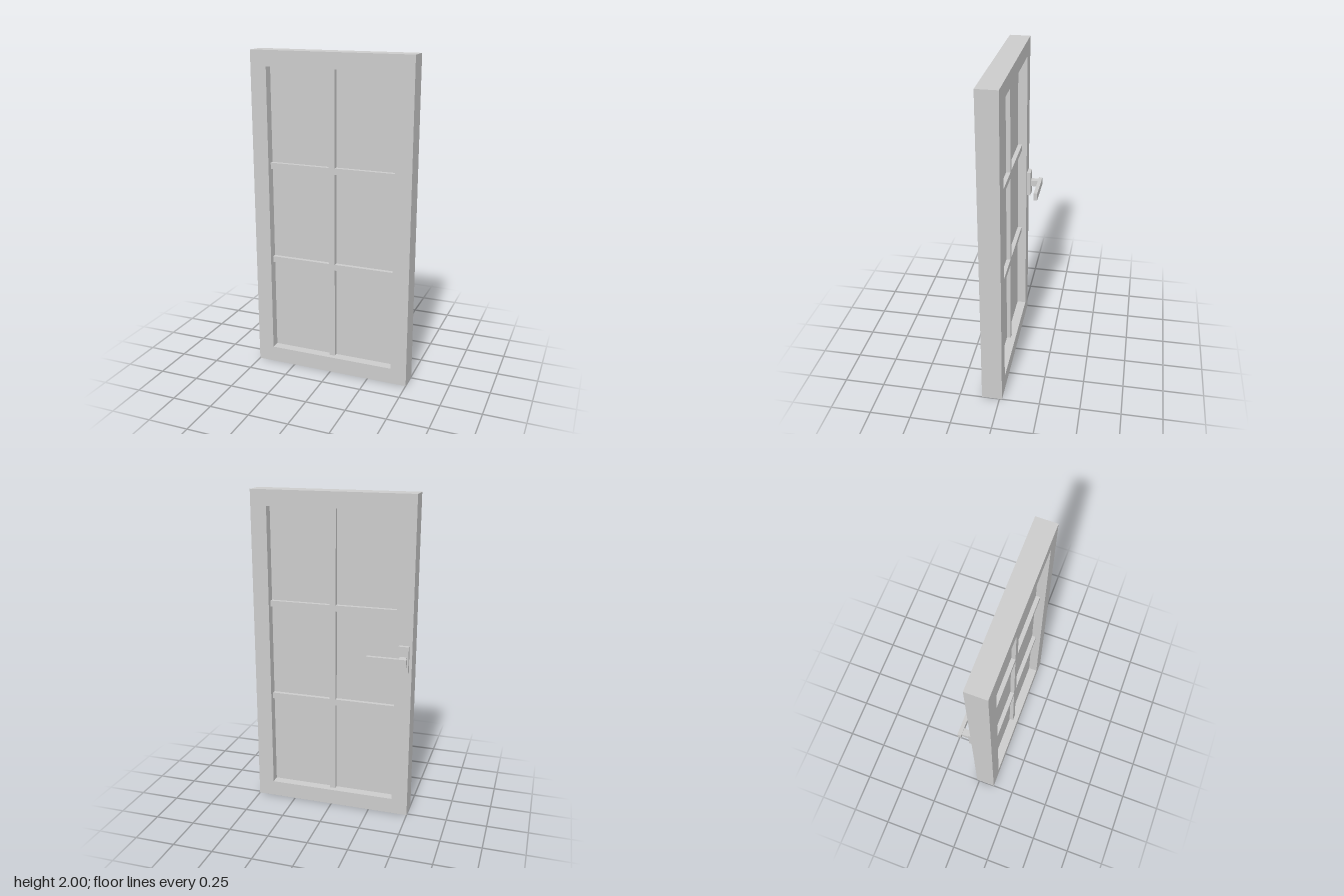
import * as THREE from 'three';

const material = new THREE.MeshStandardMaterial({ color: 0xcccccc });

// Box given by its extents along each axis
function block(name, [x0, x1], [y0, y1], [z0, z1]) {
  const mesh = new THREE.Mesh(new THREE.BoxGeometry(x1 - x0, y1 - y0, z1 - z0), material);
  mesh.position.set((x0 + x1) / 2, (y0 + y1) / 2, (z0 + z1) / 2);
  mesh.name = name;
  return mesh;
}

function rectangle(path, x0, x1, y0, y1) {
  path.moveTo(x0, y0).lineTo(x1, y0).lineTo(x1, y1).lineTo(x0, y1).closePath();
  return path;
}

export function createModel() {
  const model = new THREE.Group();
  model.name = 'glazedDoor';

  const back = -0.016, front = 0.11, middle = (back + front) / 2;
  const bottom = 0.1, top = 1.905, side = 0.4;

  // Outer frame with one rectangular opening
  const outline = rectangle(new THREE.Shape(), -0.5, 0.5, 0, 2);
  outline.holes.push(rectangle(new THREE.Path(), -side, side, bottom, top));
  const frame = new THREE.Mesh(
    new THREE.ExtrudeGeometry(outline, { depth: front - back, bevelEnabled: false }), material);
  frame.position.z = back;
  frame.name = 'frame';
  model.add(frame);

  // Thin pane in the middle of the frame's depth
  model.add(block('pane', [-side, side], [bottom, top], [middle - 0.006, middle + 0.006]));

  // Glazing bars: one upright, two rows of crossbars
  const bar = 0.019, barDepth = [middle - 0.032, middle + 0.032];
  model.add(block('uprightBar', [-bar, bar], [bottom, top], barDepth));
  for (const y of [0.701, 1.307]) {
    model.add(block('crossbarRight', [-side, -bar], [y - bar, y + bar], barDepth));
    model.add(block('crossbarLeft', [bar, side], [y - bar, y + bar], barDepth));
  }

  // Lever handle on the back
  const handle = new THREE.Group();
  handle.name = 'handle';
  handle.add(
    block('handlePlate', [-0.483, -0.419], [0.958, 1.122], [-0.04, back]),
    block('handleStem', [-0.472, -0.432], [1.02, 1.06], [-0.087, -0.04]),
    block('handleLever', [-0.483, -0.243], [1.015, 1.065], [-0.11, -0.087]));
  model.add(handle);

  return model;
}
